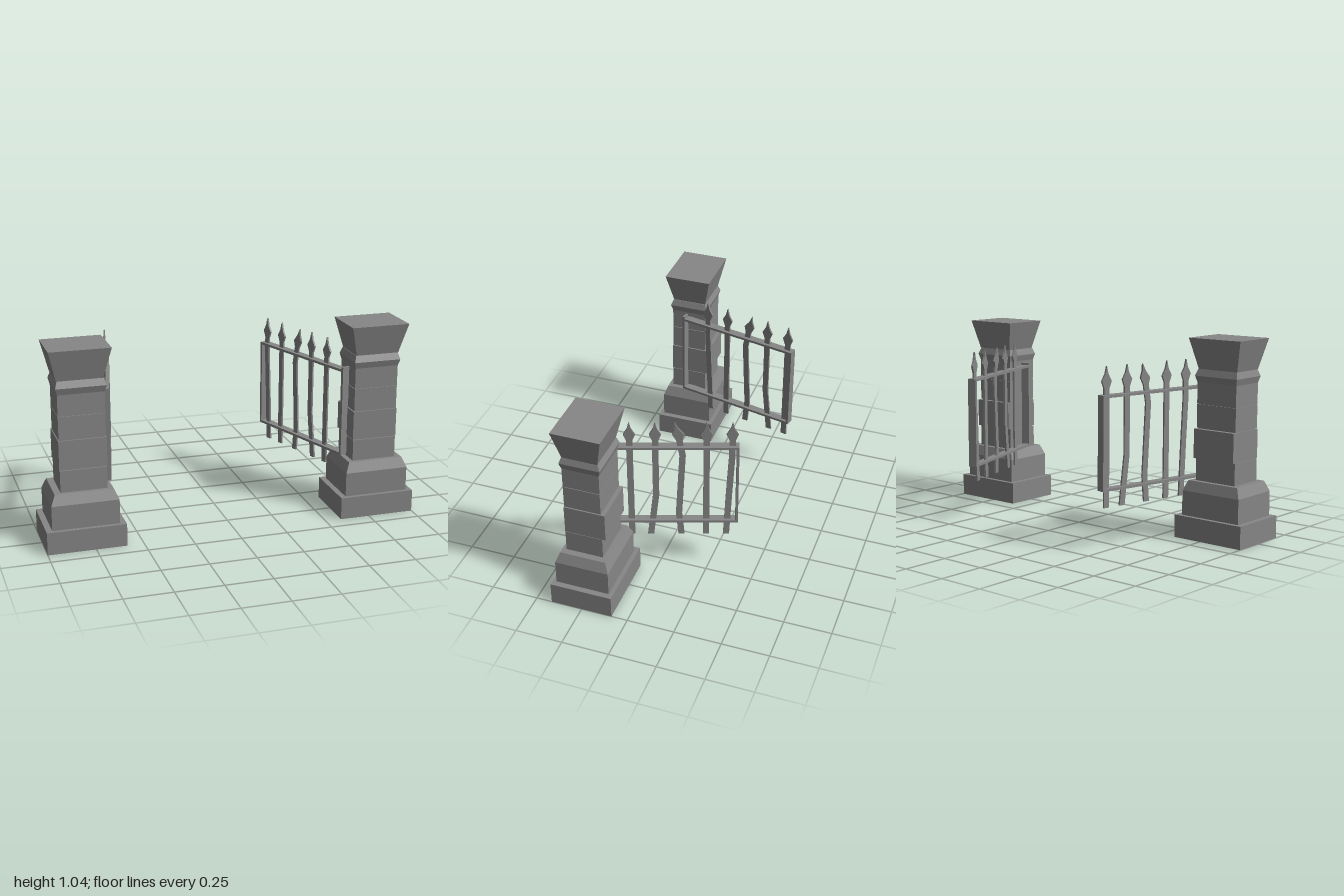
import * as THREE from 'three';

const stone = new THREE.MeshStandardMaterial({ color: 0x868686 });
stone.name = 'grey';

function addMesh(parent, geometry, name) {
  const mesh = new THREE.Mesh(geometry, stone);
  mesh.name = name;
  parent.add(mesh);
  return mesh;
}

// Box between two heights whose top may be wider or narrower than its bottom
function tier(parent, name, y0, y1, bottom, top, x = 0, z = 0) {
  const g = new THREE.BoxGeometry(1, y1 - y0, 1);
  const p = g.attributes.position;
  for (let i = 0; i < p.count; i++) {
    const [w, d] = p.getY(i) > 0 ? top : bottom;
    p.setX(i, p.getX(i) * w);
    p.setZ(i, p.getZ(i) * d);
  }
  g.computeVertexNormals();
  addMesh(parent, g, name).position.set(x, (y0 + y1) / 2, z);
}

// Square stone pillar; side is +1 or -1
function pillar(side) {
  const g = new THREE.Group();
  g.name = side > 0 ? 'leftPillar' : 'rightPillar';
  g.position.set(side * 0.794, 0, 0.251);
  tier(g, 'base', 0, 0.12, [0.412, 0.33], [0.412, 0.33]);
  tier(g, 'plinth', 0.12, 0.25, [0.35, 0.286], [0.35, 0.286], 0, 0.001);
  tier(g, 'plinthSlope', 0.25, 0.304, [0.35, 0.286], [0.304, 0.245], 0, 0.001);

  // Slightly uneven shaft blocks around a core
  const blocks = [
    [0.304, 0.419, 0.242, 0.198, 0.003],
    [0.423, 0.577, 0.246, 0.217, -0.007],
    [0.581, 0.703, 0.24, 0.194, 0.002],
    [0.706, 0.816, 0.24, 0.194, 0.002],
  ];
  const sx = -side * 0.003;
  for (const [y0, y1, w, d, z] of blocks) tier(g, 'shaftBlock', y0, y1, [w, d], [w, d], sx, z);
  tier(g, 'shaftCore', 0.304, 0.816, [0.23, 0.184], [0.23, 0.184], sx, 0.002);

  tier(g, 'collarLower', 0.816, 0.85, [0.24, 0.194], [0.258, 0.214], sx, 0.002);
  tier(g, 'collarUpper', 0.85, 0.885, [0.258, 0.214], [0.236, 0.186], sx, 0.002);
  tier(g, 'cap', 0.885, 1.045, [0.236, 0.186], [0.316, 0.257], 0, 0.001);
  return g;
}

// Sideways drift of each picket as [height, offset], bottom to tip
const bends = [
  [[0.225, 0.024], [0.5, 0.012], [0.73, 0], [0.825, 0], [0.86, 0], [0.935, 0]],
  [[0.225, 0], [0.48, 0], [0.73, 0], [0.825, 0], [0.86, 0], [0.935, 0]],
  [[0.225, 0], [0.36, 0.012], [0.73, -0.008], [0.825, 0.008], [0.86, 0.013], [0.932, 0.03]],
  [[0.225, 0.03], [0.48, 0], [0.73, 0], [0.825, 0], [0.86, 0], [0.935, 0]],
  [[0.225, 0], [0.48, 0], [0.73, 0], [0.825, 0], [0.86, 0], [0.935, 0]],
];

// Flat bar with a spear head, following a bend
function picketGeometry(bend, flip) {
  const half = [0.016, 0.016, 0.016, 0.016, 0.03, 0];
  const left = [], right = [];
  bend.forEach(([y, o], i) => {
    right.push(new THREE.Vector2(o * flip + half[i], y));
    left.unshift(new THREE.Vector2(o * flip - half[i], y));
    // Pinch the head into a concave point
    if (i === 4) {
      const m = (o + (bend[5][1] - o) * 0.5) * flip;
      right.push(new THREE.Vector2(m + 0.01, 0.895));
      left.unshift(new THREE.Vector2(m - 0.01, 0.895));
    }
  });
  left.shift();
  const g = new THREE.ExtrudeGeometry(new THREE.Shape([...right, ...left]), { depth: 0.01, bevelEnabled: false });
  return g.translate(0, 0, -0.005);
}

// Open gate leaf; its length runs along local x from the hinge to the free end
function gate(name, endX, endZ, angle, reversed) {
  const L = 0.705, wide = 0.045, t = 0.013;
  const g = new THREE.Group();
  g.name = name;
  g.rotation.y = angle;
  g.position.set(endX - L * Math.cos(angle), 0, endZ + L * Math.sin(angle));
  const bar = (part, x0, x1, y0, y1) =>
    addMesh(g, new THREE.BoxGeometry(x1 - x0, y1 - y0, wide), part).position.set((x0 + x1) / 2, (y0 + y1) / 2, 0);
  bar('topRail', t, L - t, 0.779, 0.792);
  bar('bottomRail', t, L - t, 0.312, 0.325);
  bar('hingePost', 0, t, 0.312, 0.805);
  bar('endPost', L - t, L, 0.312, 0.792);
  for (let i = 0; i < 5; i++) {
    const bend = bends[reversed ? 4 - i : i];
    addMesh(g, picketGeometry(bend, reversed ? -1 : 1), 'picket').position.x = L - 0.035 - 0.128 * (4 - i);
  }
  return g;
}

export function createModel() {
  const model = new THREE.Group();
  model.name = 'gateway';
  const rad = THREE.MathUtils.degToRad;
  model.add(pillar(1), pillar(-1));
  model.add(gate('rightGate', -0.503, -0.413, rad(77.5), false));
  model.add(gate('leftGate', 0.42, -0.395, rad(109.2), true));
  return model;
}
